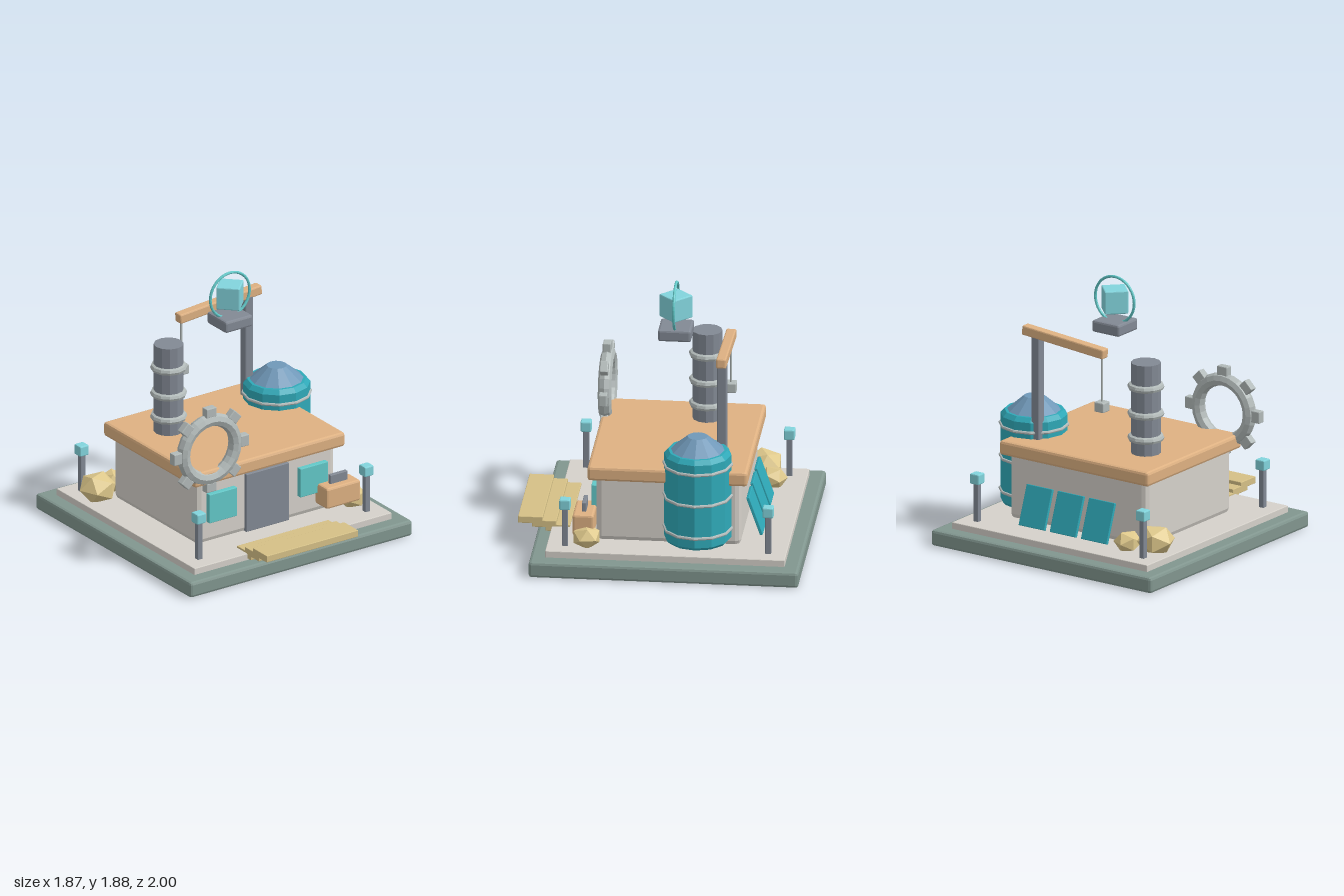
import * as THREE from 'three';
import { RoundedBoxGeometry } from 'three/addons/geometries/RoundedBoxGeometry.js';

const COLORS = {
  base: 0x81968f, stone: 0xd5d1ca, wood: 0xdeb182, steel: 0x828994, metal: 0xb2bab9,
  tank: 0x2fa9b8, glass: 0x62c8c8, cone: 0x7098b8, plank: 0xd5c086, rock: 0xdfc98c, crystal: 0x82d4dc,
};

export function createModel() {
  const root = new THREE.Group();
  const mats = {};
  const mat = (key) => (mats[key] ??= new THREE.MeshStandardMaterial({ color: COLORS[key], flatShading: true }));

  function add(name, geo, color, x, y, z, parent = root) {
    const m = new THREE.Mesh(geo, mat(color));
    m.name = name;
    m.position.set(x, y, z);
    parent.add(m);
    return m;
  }
  // chamfered box given by its size and centre
  const box = (name, color, w, h, d, x, y, z, r = 0.008, parent = root) =>
    add(name, new RoundedBoxGeometry(w, h, d, 1, r), color, x, y, z, parent);
  // horizontal hoop
  function hoop(name, radius, tube, color, x, y, z, sides = 12) {
    const h = add(name, new THREE.TorusGeometry(radius, tube, 8, sides), color, x, y, z);
    h.rotation.x = Math.PI / 2;
    return h;
  }

  // Ground plinth and paving
  box('base', 'base', 1.87, 0.115, 1.87, 0, 0.0575, -0.067, 0.02);
  box('paving', 'stone', 1.66, 0.06, 1.66, 0, 0.133, -0.067, 0.005);

  // Workshop building
  box('walls', 'stone', 1.165, 0.5, 1.005, 0, 0.4, -0.065, 0.04);
  box('roof', 'wood', 1.265, 0.105, 1.11, 0, 0.667, -0.063, 0.02);
  box('door', 'steel', 0.36, 0.435, 0.04, 0, 0.378, 0.44, 0.005);
  for (const x of [-0.385, 0.38]) box('window', 'glass', 0.234, 0.216, 0.04, x, 0.422, 0.457, 0.005);

  // Loading planks, each one higher and further out
  for (let i = 0; i < 3; i++)
    box('step', 'plank', 0.77, 0.05, 0.17, 0, 0.152 + i * 0.026, 0.722 + i * 0.095, 0.004);

  // Tilted panels leaning on the back wall
  for (let i = 0; i < 3; i++)
    box('solarPanel', 'tank', 0.22, 0.29, 0.022, -0.235 + i * 0.265, 0.305, -0.645, 0.004).rotation.x = 0.34;

  // Chimney with bands
  add('chimney', new THREE.CylinderGeometry(0.104, 0.104, 0.7, 12), 'steel', -0.345, 1.023, -0.24);
  for (const y of [0.83, 1.005, 1.2]) hoop('chimneyBand', 0.104, 0.025, 'metal', -0.345, y, -0.24);

  // Storage tank with cone lid and hoops
  const profile = [[0, 0.197], [0.212, 0.197], [0.233, 0.22], [0.233, 0.835], [0.205, 0.866], [0, 0.866]]
    .map(([r, y]) => new THREE.Vector2(r, y));
  add('tank', new THREE.LatheGeometry(profile, 12), 'tank', 0.585, 0, -0.27);
  add('tankLid', new THREE.CylinderGeometry(0.07, 0.188, 0.1, 12), 'cone', 0.585, 0.914, -0.27);
  for (const y of [0.29, 0.53, 0.763]) hoop('tankHoop', 0.234, 0.012, 'metal', 0.585, y, -0.27);

  // Crane
  box('cranePost', 'steel', 0.066, 0.82, 0.066, 0.442, 1.06, -0.425);
  box('craneBeam', 'wood', 0.69, 0.07, 0.07, 0.207, 1.467, -0.428, 0.01).rotation.z = 0.077;
  add('craneCable', new THREE.CylinderGeometry(0.008, 0.008, 0.36, 8), 'metal', -0.107, 1.25, -0.428);
  box('craneWeight', 'metal', 0.08, 0.072, 0.08, -0.107, 1.056, -0.428);

  // Gear wheel on the front wall
  const gear = new THREE.Group();
  gear.name = 'gear';
  gear.position.set(-0.498, 0.874, 0.467);
  root.add(gear);
  add('gearRing', new THREE.TorusGeometry(0.217, 0.047, 8, 24), 'metal', 0, 0, 0, gear);
  for (let i = 0; i < 8; i++) {
    const a = (i * Math.PI) / 4;
    box('gearTooth', 'metal', 0.07, 0.085, 0.056, Math.cos(a) * 0.281, Math.sin(a) * 0.281, 0.003, 0.006, gear)
      .rotation.z = a;
  }

  // Floating beacon
  box('beaconPlinth', 'steel', 0.23, 0.085, 0.23, 0.047, 1.522, -0.063, 0.015);
  box('beaconCrystal', 'crystal', 0.165, 0.167, 0.165, 0.047, 1.706, -0.063, 0.008).rotation.y = Math.PI / 4;
  add('beaconRing', new THREE.TorusGeometry(0.165, 0.01, 8, 36), 'glass', 0.047, 1.706, -0.063);

  // Corner lamps
  for (const x of [-0.705, 0.705])
    for (const z of [0.637, -0.772]) {
      box('lampPost', 'steel', 0.04, 0.29, 0.04, x, 0.3, z, 0.004);
      box('lampHead', 'crystal', 0.075, 0.075, 0.075, x, 0.472, z);
    }

  // Toolbox
  box('toolbox', 'wood', 0.285, 0.155, 0.147, 0.55, 0.304, 0.515, 0.015);
  box('toolboxHandle', 'steel', 0.145, 0.075, 0.03, 0.551, 0.41, 0.515, 0.005);

  // Rocks
  for (const [x, y, z, r, spin] of [[-0.69, 0.245, -0.6, 0.138, 0.4], [-0.51, 0.22, -0.68, 0.1, 1.1], [0.69, 0.225, 0.49, 0.105, 0.2]]) {
    const rock = add('rock', new THREE.IcosahedronGeometry(r, 0), 'rock', x, y, z);
    rock.scale.y = 0.8;
    rock.rotation.y = spin;
  }

  return root;
}
